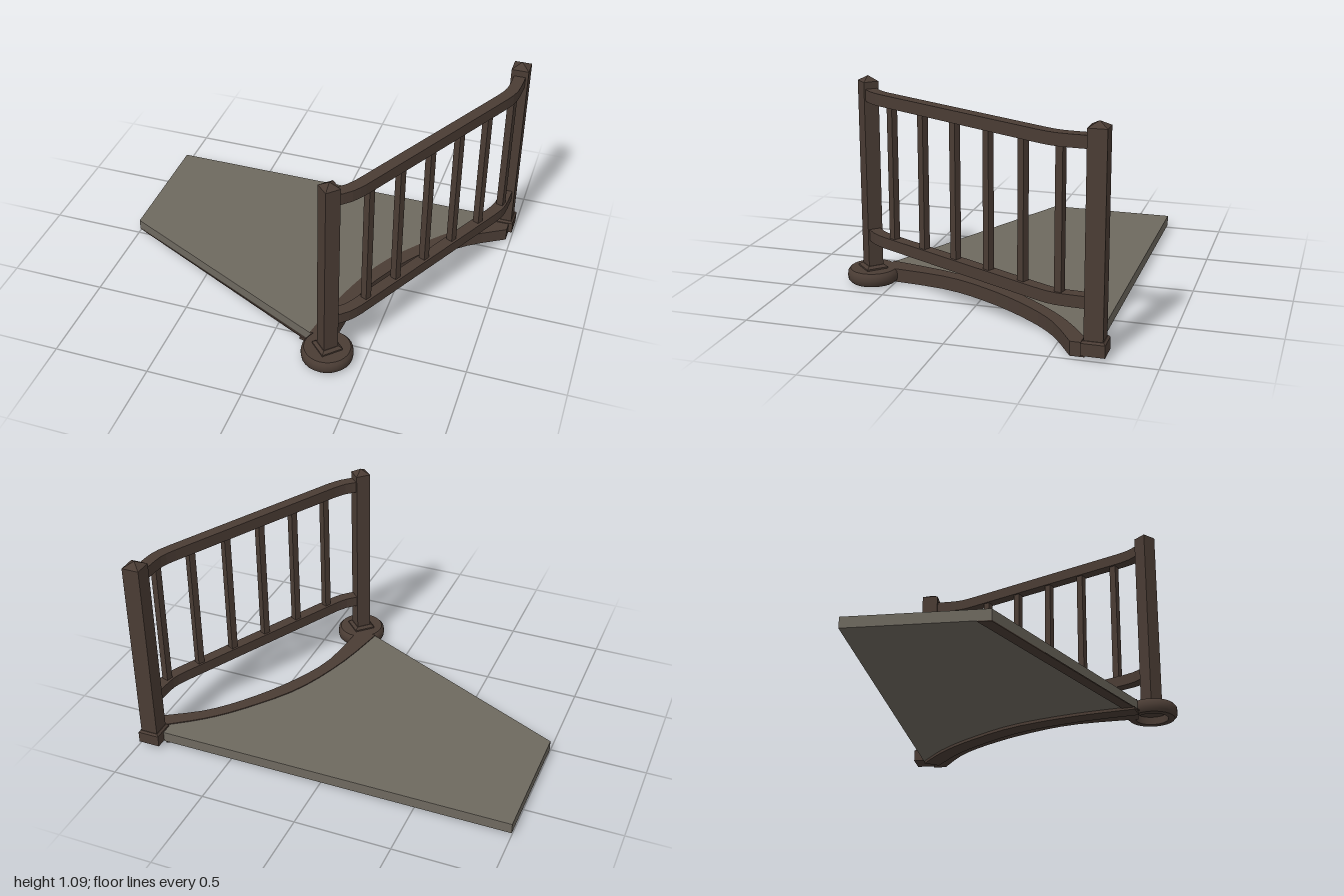
import * as THREE from 'three';
import { toCreasedNormals } from 'three/addons/utils/BufferGeometryUtils.js';

const wood = new THREE.MeshStandardMaterial({ color: 0x4a3c34 });
wood.name = 'dark wood';
const stone = new THREE.MeshStandardMaterial({ color: 0x6e695f });
stone.name = 'grey floor';

// Smooth plan curve through [x, z] points
const curve = (pts, n = 16) =>
  new THREE.SplineCurve(pts.map(p => new THREE.Vector2(...p))).getPoints(n);

// Plan path shifted sideways by d
function offset(path, d) {
  return path.map((p, i) => {
    const a = path[Math.max(i - 1, 0)], b = path[Math.min(i + 1, path.length - 1)];
    const t = b.clone().sub(a).normalize();
    return new THREE.Vector2(p.x + t.y * d, p.y - t.x * d);
  });
}

// Closed band between two plan paths
const band = (a, b) => [...a, ...[...b].reverse()];

export function createModel() {
  const model = new THREE.Group();
  model.name = 'balconyCorner';

  function add(parent, name, geometry, material = wood) {
    const mesh = new THREE.Mesh(geometry, material);
    mesh.name = name;
    parent.add(mesh);
    return mesh;
  }

  // Plan outline raised between two heights
  function slab(name, outline, y0, y1, material) {
    const g = new THREE.ExtrudeGeometry(new THREE.Shape(outline), { depth: y1 - y0, bevelEnabled: false });
    g.rotateX(Math.PI / 2).translate(0, y1, 0);
    return add(model, name, g, material);
  }

  // Floor and its curved edge beam
  const inner = curve([[0.2, 0.55], [0.27, 0.23], [0.39, -0.085], [0.57, -0.34], [0.73, -0.51], [0.91, -0.645]]);
  const outer = curve([[0.31, 0.55], [0.35, 0.21], [0.46, -0.05], [0.61, -0.28], [0.77, -0.455], [0.975, -0.59]]);
  const corners = [[0.91, -0.7], [-1, -0.7], [-1, -0.02]].map(p => new THREE.Vector2(...p));
  slab('floor', [...inner, ...corners], 0.015, 0.07, stone);
  slab('edgeBeam', band(inner, [...outer, new THREE.Vector2(0.975, -0.66)]), 0.005, 0.075);
  slab('edgeBeamLip', band(offset(inner, 0.06), offset(inner, -0.03)), 0, 0.016);
  slab('frontUnderTrim', [[-1, -0.02], [0.2, 0.56], [0.2, 0.495], [-1, -0.085]]
    .map(p => new THREE.Vector2(...p)), 0.011, 0.017);

  // Round foot, hollow underneath
  const footProfile = [[0, 0.045], [0.085, 0.045], [0.085, 0.005], [0.118, 0.005], [0.13, 0.018],
    [0.133, 0.04], [0.13, 0.062], [0.118, 0.075], [0, 0.075]].map(p => new THREE.Vector2(...p));
  const foot = add(model, 'roundFoot', toCreasedNormals(new THREE.LatheGeometry(footProfile, 28), 0.7));
  foot.position.set(0.315, 0, 0.62);

  // Four-sided tapered block, given by half widths
  function taper(bottom, top, y0, y1) {
    const g = new THREE.CylinderGeometry(top * Math.SQRT2, bottom * Math.SQRT2, y1 - y0, 4)
      .rotateY(Math.PI / 4).translate(0, (y0 + y1) / 2, 0).toNonIndexed();
    g.computeVertexNormals();
    return g;
  }

  function post(name, x, z, half, turn, y0) {
    const group = new THREE.Group();
    group.name = name;
    group.position.set(x, 0, z);
    group.rotation.y = turn;
    add(group, 'shaft', taper(half, half, y0, 1.06));
    add(group, 'pointedCap', taper(half, 0, 1.06, 1.087));
    model.add(group);
    return group;
  }

  const frontPost = post('frontPost', 0.315, 0.62, 0.039, Math.PI / 4, 0.07);
  add(frontPost, 'collar', taper(0.057, 0.057, 0.07, 0.083));
  add(frontPost, 'collarSlope', taper(0.057, 0.042, 0.083, 0.095));
  const backPost = post('backPost', 0.94, -0.7, 0.045, 0, 0.02);
  add(backPost, 'plinth', taper(0.057, 0.057, 0.02, 0.08));
  add(backPost, 'plinthSlope', taper(0.057, 0.048, 0.08, 0.09));

  // Handrail and lower rail, bent where they meet the posts
  const path = [
    ...curve([[0.33, 0.605], [0.39, 0.55], [0.43, 0.49]], 4),
    ...curve([[0.895, -0.425], [0.932, -0.52], [0.942, -0.67]], 6),
  ];
  const railOutline = band(offset(path, 0.03), offset(path, -0.03));
  slab('handrail', railOutline, 0.965, 1.025);
  slab('lowerRail', railOutline, 0.235, 0.293);

  // Balusters along the rails
  for (let i = 0; i < 6; i++) {
    const baluster = add(model, 'baluster', new THREE.BoxGeometry(0.036, 0.72, 0.036));
    baluster.position.set(i < 5 ? 0.456 + i * 0.098 : 0.934, 0.63, 0.44 - i * 0.194);
    baluster.rotation.y = i < 5 ? -0.468 : -0.25;
  }

  return model;
}
